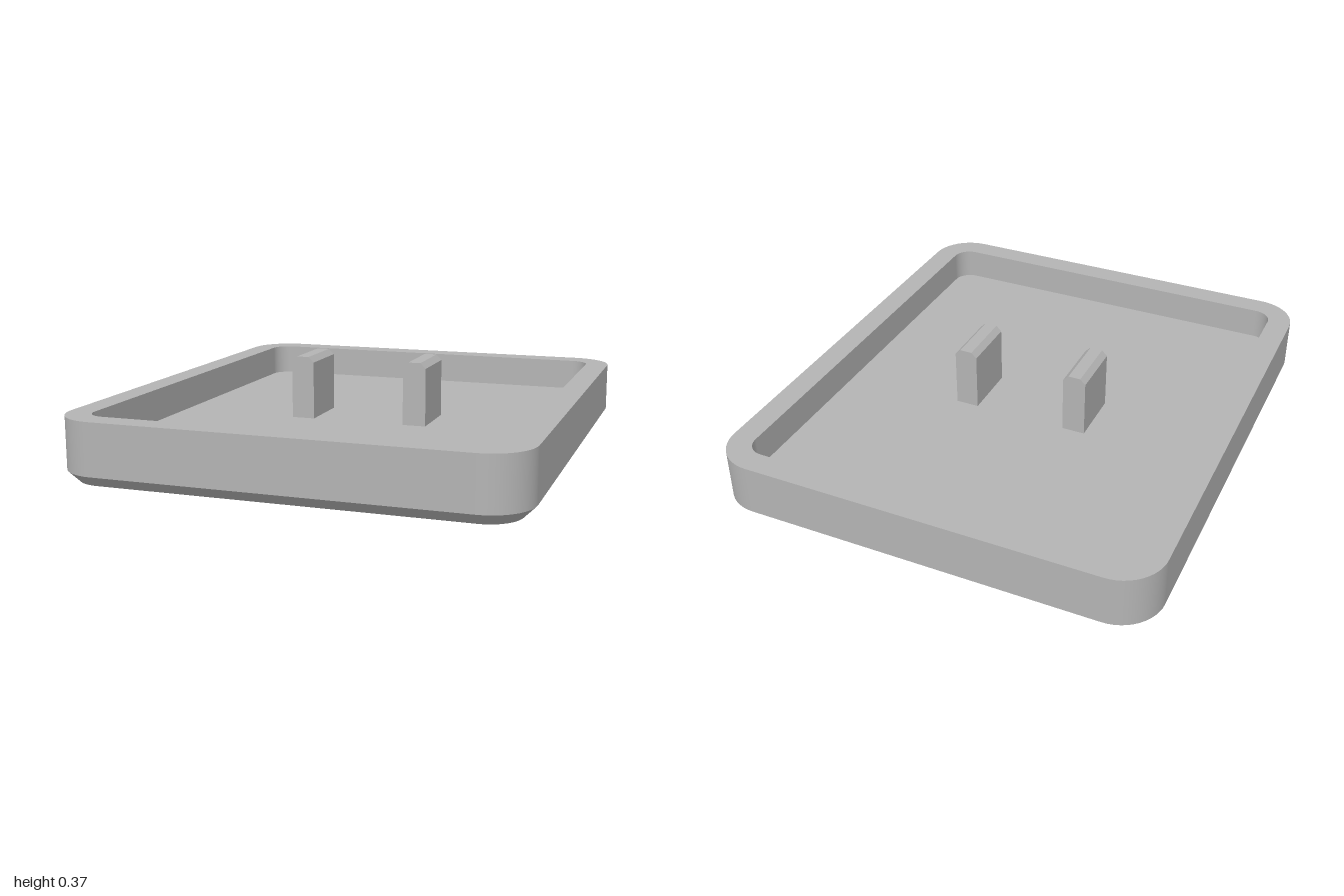
import * as THREE from 'three';

const HALF_X = 0.875, HALF_Z = 1, CORNER = 0.17, STEPS = 12;
const CHAMFER = 0.043, TOP = 0.245, WALL = 0.097, FLOOR = 0.115;

// Rounded-rectangle outline, inset from the outer edge; corners stay concentric
function outline(inset) {
  const points = [];
  const signs = [[1, 1], [-1, 1], [-1, -1], [1, -1]];
  signs.forEach(([sx, sz], corner) => {
    for (let i = 0; i <= STEPS; i++) {
      const a = (corner + i / STEPS) * Math.PI / 2;
      const nx = Math.cos(a), nz = Math.sin(a), r = CORNER - inset;
      points.push({ x: sx * (HALF_X - CORNER) + r * nx, z: sz * (HALF_Z - CORNER) + r * nz, nx, nz });
    }
  });
  return points;
}

// Band joining two outlines, smooth round the corners and sharp at its edges
function band([insetA, yA], [insetB, yB]) {
  const a = outline(insetA), b = outline(insetB), n = a.length;
  const length = Math.hypot(insetB - insetA, yB - yA);
  const out = (yB - yA) / length, up = (insetB - insetA) / length;
  const position = [], normal = [], index = [];
  for (let i = 0; i < n; i++) {
    position.push(a[i].x, yA, a[i].z, b[i].x, yB, b[i].z);
    for (let k = 0; k < 2; k++) normal.push(a[i].nx * out, up, a[i].nz * out);
    const p = i * 2, q = ((i + 1) % n) * 2;
    index.push(p, p + 1, q, q, p + 1, q + 1);
  }
  const geometry = new THREE.BufferGeometry();
  geometry.setAttribute('position', new THREE.Float32BufferAttribute(position, 3));
  geometry.setAttribute('normal', new THREE.Float32BufferAttribute(normal, 3));
  geometry.setIndex(index);
  return geometry;
}

// Flat rounded-rectangle sheet facing up or down
function sheet(inset, y, facing) {
  const shape = new THREE.Shape(outline(inset).map(p => new THREE.Vector2(p.x, p.z)));
  return new THREE.ShapeGeometry(shape).rotateX(-facing * Math.PI / 2).translate(0, y, 0);
}

export function createModel() {
  const model = new THREE.Group();
  model.name = 'tray';
  const grey = new THREE.MeshStandardMaterial({ color: 0xb4b4b4 });
  grey.name = 'grey';
  const add = (name, geometry) => {
    const mesh = new THREE.Mesh(geometry, grey);
    mesh.name = name;
    model.add(mesh);
  };

  // Tray shell
  add('underside', sheet(CHAMFER, 0, -1));
  add('bottomChamfer', band([CHAMFER, 0], [0, CHAMFER]));
  add('outerWall', band([0, CHAMFER], [0, TOP]));
  add('rim', band([0, TOP], [WALL, TOP]));
  add('innerWall', band([WALL, TOP], [WALL, FLOOR]));
  add('floor', sheet(WALL, FLOOR, 1));

  // Two upright tabs with chamfered top edges
  const half = 0.047, depth = 0.236, tabTop = 0.37, cut = 0.022;
  const profile = new THREE.Shape([
    [-half, FLOOR], [half, FLOOR], [half, tabTop - cut], [half - cut, tabTop],
    [cut - half, tabTop], [-half, tabTop - cut],
  ].map(([x, y]) => new THREE.Vector2(x, y)));
  for (const [name, side] of [['leftTab', 1], ['rightTab', -1]]) {
    const tab = new THREE.ExtrudeGeometry(profile, { depth, bevelEnabled: false });
    add(name, tab.translate(side * 0.238, 0, -depth / 2));
  }
  return model;
}
